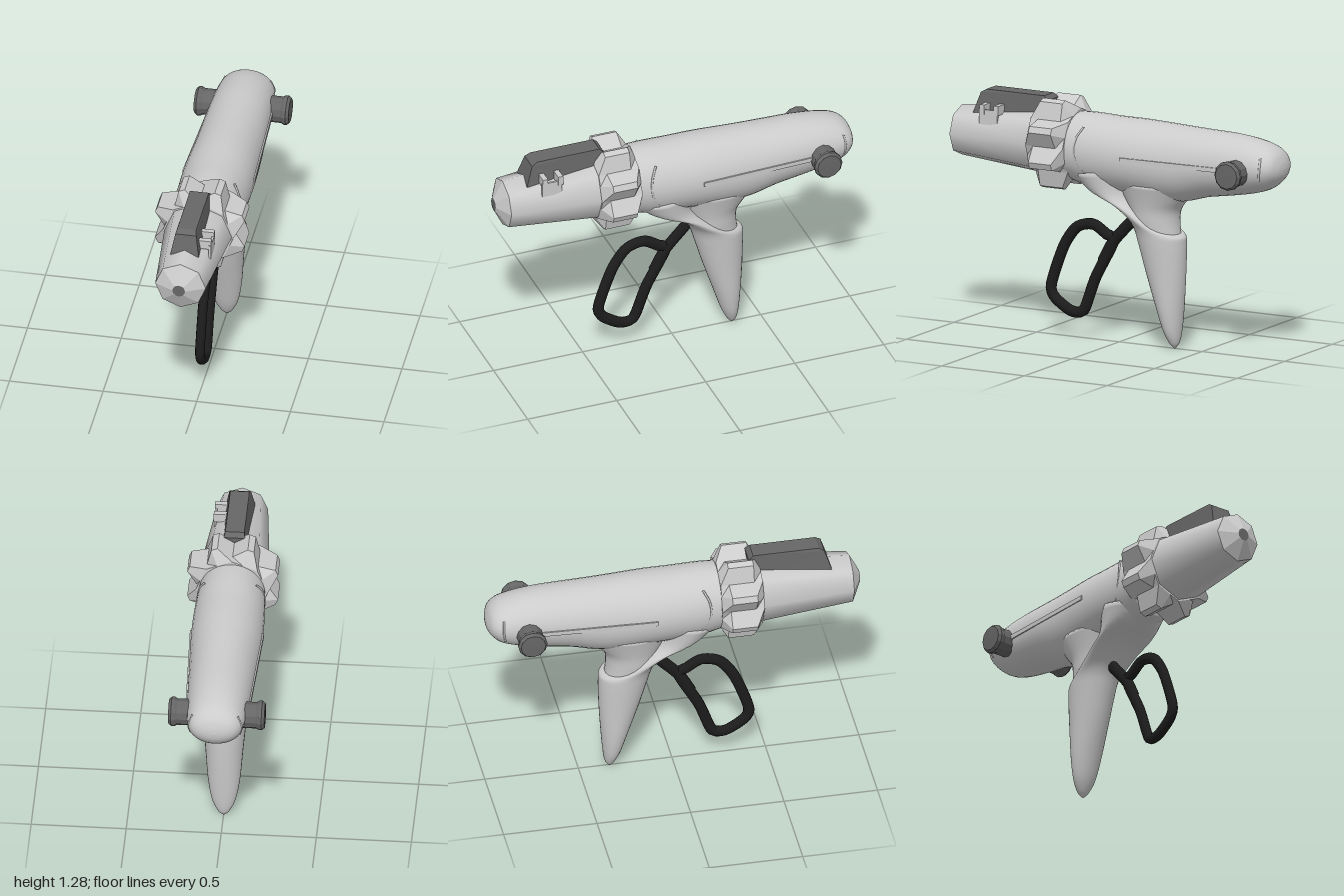
import * as THREE from 'three';

const grey = new THREE.MeshStandardMaterial({ color: 0xcccccc });
const greyFlat = new THREE.MeshStandardMaterial({ color: 0xcccccc, flatShading: true });
const dark = new THREE.MeshStandardMaterial({ color: 0x666666 });
const darkFlat = new THREE.MeshStandardMaterial({ color: 0x666666, flatShading: true });
const black = new THREE.MeshStandardMaterial({ color: 0x1c1c1c });

const AXIS_Y = 1.04; // height of the barrel axis

// Closed skin over equal-sized rings of points, with both ends capped
function skin(rings) {
  const n = rings[0].length, pos = [], idx = [];
  rings.forEach(r => r.forEach(p => pos.push(...p)));
  for (let i = 0; i < rings.length - 1; i++)
    for (let j = 0; j < n; j++) {
      const a = i * n + j, b = i * n + (j + 1) % n;
      idx.push(a, b, a + n, b, b + n, a + n);
    }
  const last = (rings.length - 1) * n;
  for (let j = 1; j < n - 1; j++) idx.push(0, j + 1, j, last, last + j, last + j + 1);
  const g = new THREE.BufferGeometry();
  g.setAttribute('position', new THREE.Float32BufferAttribute(pos, 3));
  g.setIndex(idx);
  g.computeVertexNormals();
  return g;
}

// Smooth oval loft; each section is [zA, yA, zB, yB, halfWidth]
function ovalLoft(sections, steps = 48, n = 32) {
  const spline = f => new THREE.CatmullRomCurve3(sections.map(f), false, 'catmullrom', 0.5);
  const A = spline(s => new THREE.Vector3(0, s[1], s[0]));
  const B = spline(s => new THREE.Vector3(s[4], s[3], s[2]));
  const rings = [];
  for (let i = 0; i <= steps; i++) {
    const a = A.getPoint(i / steps), b = B.getPoint(i / steps), ring = [];
    for (let j = 0; j < n; j++) {
      const t = j / n * Math.PI * 2, c = Math.cos(t) / 2;
      ring.push([b.x * Math.sin(t), (a.y + b.y) / 2 + (a.y - b.y) * c, (a.z + b.z) / 2 + (a.z - b.z) * c]);
    }
    rings.push(ring);
  }
  return skin(rings);
}

export function createModel() {
  const model = new THREE.Group();
  const add = (name, geo, mat, x = 0, y = 0, z = 0, parent = model) => {
    const m = new THREE.Mesh(geo, mat);
    m.name = name;
    m.position.set(x, y, z);
    parent.add(m);
    return m;
  };

  // Main housing: z, top, bottom, half width
  add('housing', ovalLoft([
    [0.27, 1.21, 0.85, 0.172], [0.15, 1.215, 0.82, 0.181], [0, 1.21, 0.81, 0.188],
    [-0.15, 1.21, 0.80, 0.188], [-0.3, 1.205, 0.79, 0.182], [-0.42, 1.2, 0.80, 0.177],
    [-0.55, 1.195, 0.835, 0.171], [-0.7, 1.19, 0.86, 0.164], [-0.83, 1.175, 0.885, 0.155],
    [-0.92, 1.15, 0.915, 0.143], [-0.97, 1.115, 0.955, 0.112], [-0.993, 1.07, 0.99, 0.06],
    [-1, 1.035, 1.025, 0.008],
  ].map(([z, t, b, w]) => [z, t, z, b, w]), 60), grey);

  // Grip sheath: back edge and front edge of each slice, half width
  add('grip', ovalLoft([
    [-0.08, 0.95, 0.25, 0.90, 0.172], [-0.1, 0.80, 0.17, 0.83, 0.152],
    [-0.2, 0.71, 0.04, 0.78, 0.138], [-0.32, 0.63, -0.05, 0.71, 0.127],
    [-0.383, 0.605, -0.1, 0.64, 0.12], [-0.394, 0.56, -0.13, 0.55, 0.114],
    [-0.391, 0.4, -0.175, 0.4, 0.1], [-0.38, 0.22, -0.235, 0.22, 0.085],
    [-0.37, 0.1, -0.275, 0.1, 0.064], [-0.36, 0.035, -0.305, 0.035, 0.036],
    [-0.345, 0.008, -0.325, 0.008, 0.014], [-0.337, 0, -0.333, 0, 0.003],
  ]), grey);

  // Neck between the sheath and the housing
  add('gripNeck', ovalLoft([
    [-0.47, 0.88, 0.0, 0.88, 0.155], [-0.405, 0.8, -0.04, 0.8, 0.134],
    [-0.362, 0.74, -0.07, 0.74, 0.122], [-0.355, 0.67, -0.09, 0.67, 0.115],
    [-0.365, 0.58, -0.14, 0.58, 0.1],
  ], 20), grey);

  // Eight-toothed collar
  const collarRings = [[0.235, 0], [0.28, 1], [0.415, 1], [0.46, 0]].map(([z, outer]) => {
    const ring = [];
    for (let k = 0; k < 8; k++)
      for (const d of [0, 18.5, 26.5]) {
        const t = (k * 45 + d) * Math.PI / 180;
        const r = d === 0 ? 0.19 : outer ? 0.252 : 0.177;
        ring.push([r * Math.cos(t), AXIS_Y + r * Math.sin(t), z]);
      }
    return ring;
  });
  add('collar', skin(collarRings), greyFlat);

  // Tapered eight-sided barrel with a shallow pointed cap
  const barrel = new THREE.CylinderGeometry(0.135, 0.186, 0.55, 8, 1, true).rotateX(Math.PI / 2);
  add('barrel', barrel, grey, 0, AXIS_Y, 0.675);
  const cap = new THREE.CylinderGeometry(0.035, 0.135, 0.05, 8).rotateX(Math.PI / 2);
  add('barrelCap', cap, greyFlat, 0, AXIS_Y, 0.975);
  add('nozzleHole', new THREE.CircleGeometry(0.034, 12), dark, 0, AXIS_Y, 1.0005);

  // Top block: side profile extruded across, narrower at the top
  const profile = new THREE.Shape([
    [0.85, 1.09], [0.84, 1.16], [0.805, 1.265], [0.775, 1.283],
    [0.425, 1.283], [0.4, 1.262], [0.4, 1.09],
  ].map(([z, y]) => new THREE.Vector2(-z, y)));
  const block = new THREE.ExtrudeGeometry(profile, { depth: 2, bevelEnabled: false });
  block.translate(0, 0, -1).rotateY(Math.PI / 2);
  const bp = block.attributes.position;
  for (let i = 0; i < bp.count; i++) {
    const y = bp.getY(i);
    const w = y > 1.275 ? 0.05 : y > 1.2 ? 0.056 : 0.075;
    bp.setX(i, bp.getX(i) * w);
  }
  block.computeVertexNormals();
  add('topBlock', block, darkFlat);

  // Small U-shaped bracket on the left
  const bracket = new THREE.Group();
  bracket.name = 'bracket';
  model.add(bracket);
  add('bracketBase', new THREE.BoxGeometry(0.012, 0.08, 0.11), greyFlat, 0.122, 1.15, 0.72, bracket);
  for (const z of [0.757, 0.672])
    add('bracketPost', new THREE.BoxGeometry(0.07, 0.05, 0.028), greyFlat, 0.094, 1.19, z, bracket);

  // Side details, mirrored
  const knobProfile = [[0, 0], [0.07, 0], [0.07, 0.09], [0.078, 0.105], [0.078, 0.12], [0.066, 0.135], [0, 0.137]]
    .map(([r, h]) => new THREE.Vector2(r, h));
  for (const s of [1, -1]) {
    const knob = add('sideKnob', new THREE.LatheGeometry(knobProfile, 12), darkFlat, s * 0.118, 1.013, -0.79);
    knob.rotation.z = -s * Math.PI / 2;

    const rib = add('sideRib', new THREE.BoxGeometry(0.012, 0.024, 0.62), greyFlat, s * 0.176, 1.02, -0.42);
    rib.rotation.y = s * 0.041;

    // Curved seam lines hugging the housing
    const seam = pts => new THREE.TubeGeometry(
      new THREE.CatmullRomCurve3(pts.map(([x, y, z]) => new THREE.Vector3(s * x, y, z))), 20, 0.006, 6);
    add('frontSeam', seam([[0.133, 1.16, 0.14], [0.164, 1.1, 0.17], [0.176, 1.02, 0.175], [0.158, 0.92, 0.13]]), grey);
    add('rearSeam', seam([[0.118, 1.1, -0.92], [0.14, 1.04, -0.925], [0.13, 0.98, -0.915]]), grey);
  }

  // Trigger: closed loop and the stem into the grip
  const path = (pts, closed) => new THREE.CatmullRomCurve3(
    pts.map(([z, y]) => new THREE.Vector3(0, y, z)), closed, 'catmullrom', 0.4);
  const loop = path([
    [0.035, 0.536], [0.142, 0.332], [0.205, 0.165], [0.24, 0.134], [0.3, 0.14], [0.39, 0.2],
    [0.41, 0.27], [0.335, 0.48], [0.255, 0.59], [0.158, 0.615], [0.078, 0.57],
  ], true);
  const stem = path([[-0.16, 0.75], [-0.07, 0.65], [0.035, 0.536], [0.1, 0.42]], false);
  const trigger = new THREE.Group();
  trigger.name = 'trigger';
  trigger.scale.x = 0.85;
  model.add(trigger);
  add('triggerLoop', new THREE.TubeGeometry(loop, 64, 0.03, 10, true), black, 0, 0, 0, trigger);
  add('triggerStem', new THREE.TubeGeometry(stem, 16, 0.031, 10), black, 0, 0, 0, trigger);

  return model;
}
